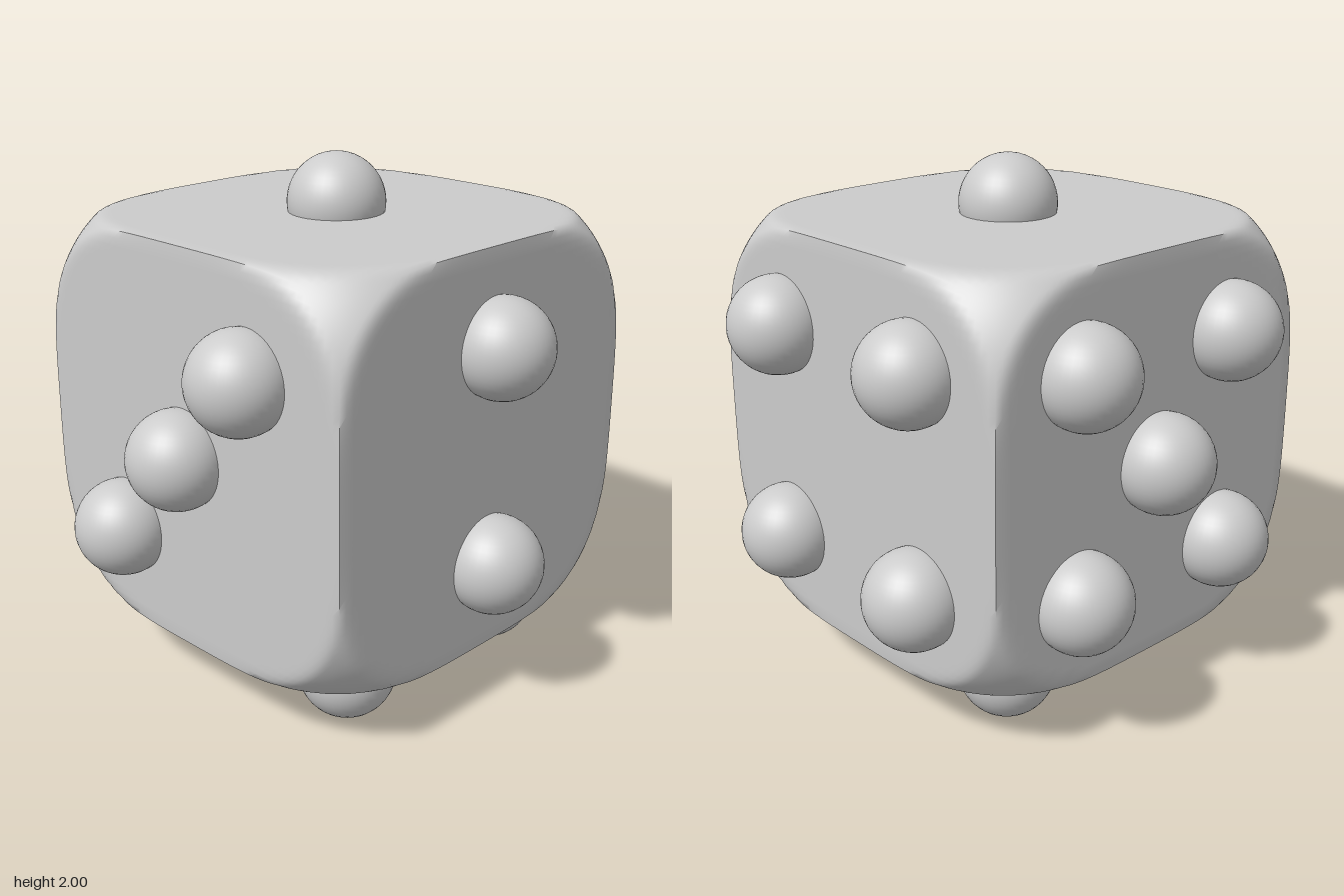
import * as THREE from 'three';
import { mergeVertices, toCreasedNormals } from 'three/addons/utils/BufferGeometryUtils.js';

const HALF = 0.773;      // half the cube's side
const CENTRE_Y = 1.006;  // height of the cube's centre
const PIP_R = 0.187;
const POWER = 3.2;       // roundness of the corner cut
const BLEND = 0.02;      // softness of the rim around each flat face

// Cube whose corners are trimmed by a superellipsoid, leaving flat faces that meet at mid-edge
function roundedCube() {
  let geo = new THREE.BoxGeometry(2 * HALF, 2 * HALF, 2 * HALF, 48, 48, 48);
  geo.deleteAttribute('uv');
  geo.deleteAttribute('normal');
  geo = mergeVertices(geo, 1e-4);
  const pos = geo.attributes.position;
  const limit = HALF * Math.pow(2.03, 1 / POWER);
  const v = new THREE.Vector3();
  for (let i = 0; i < pos.count; i++) {
    v.fromBufferAttribute(pos, i);
    const norm = Math.pow(
      Math.abs(v.x) ** POWER + Math.abs(v.y) ** POWER + Math.abs(v.z) ** POWER, 1 / POWER);
    const t = limit / norm;
    const h = Math.max(BLEND - Math.abs(1 - t), 0);
    v.multiplyScalar(Math.min(1, t) - (h * h) / (4 * BLEND));
    pos.setXYZ(i, v.x, v.y, v.z);
  }
  return toCreasedNormals(geo, 1.1);
}

// Pip centres on each face, relative to the cube's centre
const PIPS = {
  topPip: [[0, 0.807, 0]],
  frontPip: [0.413, -0.417].map((y) => [0, y, 0.807]),
  rightSidePip: [],
  leftSidePip: [-1, 0, 1].map((k) => [-0.808, k * 0.375, k * 0.342]),
  backPip: [[0, 0, -0.812]],
  bottomPip: [],
};
for (const y of [0.413, -0.417]) {
  for (const z of [0.378, -0.378]) PIPS.rightSidePip.push([0.8, y, z]);
  for (const x of [-0.36, 0.39]) PIPS.backPip.push([x, y, -0.798]);
}
for (const x of [-0.416, 0.416]) {
  for (const z of [0.465, 0.013, -0.44]) PIPS.bottomPip.push([x, -0.819, z]);
}

export function createModel() {
  const model = new THREE.Group();
  model.name = 'die';
  const material = new THREE.MeshStandardMaterial({ color: 0xcccccc });

  // Body
  const body = new THREE.Mesh(roundedCube(), material);
  body.name = 'body';
  body.position.y = CENTRE_Y;
  model.add(body);

  // Raised ball pips
  const ball = new THREE.SphereGeometry(PIP_R, 40, 24);
  for (const [name, centres] of Object.entries(PIPS)) {
    const face = new THREE.Group();
    face.name = name + 's';
    face.position.y = CENTRE_Y;
    for (const c of centres) {
      const pip = new THREE.Mesh(ball, material);
      pip.name = name;
      pip.position.set(...c);
      face.add(pip);
    }
    model.add(face);
  }
  return model;
}
